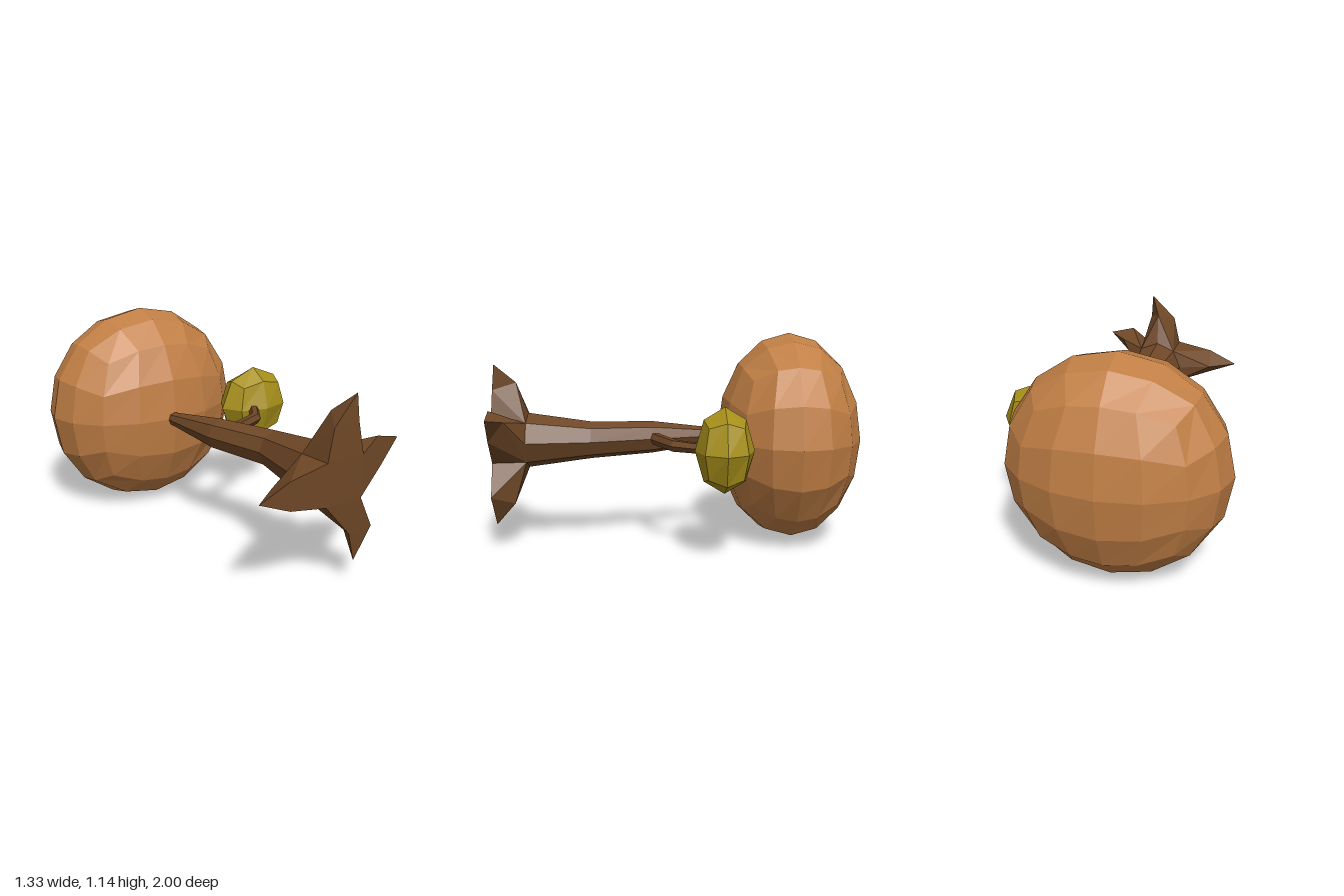
import * as THREE from 'three';

const mat = (color, side = THREE.FrontSide) => new THREE.MeshStandardMaterial({ color, side, flatShading: true });
const bark = mat(0x6e4726, THREE.DoubleSide);

// Flat-shaded mesh from a list of triangles given as Vector3 corners
function facetMesh(name, tris, material) {
  const g = new THREE.BufferGeometry().setFromPoints(tris);
  g.computeVertexNormals();
  const m = new THREE.Mesh(g, material);
  m.name = name;
  return m;
}

// Ring of points around a centre; u is the sideways axis, the other axis is y
function ring([x, y, z], r, u, n) {
  return Array.from({ length: n }, (_, i) => {
    const a = (i / n) * Math.PI * 2, c = r * Math.cos(a);
    return new THREE.Vector3(x + c * u[0], y + r * Math.sin(a), z + c * u[1]);
  });
}

// Skin successive rings, closing the far end
function loft(rings) {
  const t = [], n = rings[0].length;
  for (let i = 0; i + 1 < rings.length; i++) {
    for (let j = 0; j < n; j++) {
      const k = (j + 1) % n, P = rings[i], Q = rings[i + 1];
      t.push(P[j], Q[j], Q[k], P[j], Q[k], P[k]);
    }
  }
  const end = rings[rings.length - 1];
  for (let j = 1; j + 1 < n; j++) t.push(end[0], end[j + 1], end[j]);
  return t;
}

// Squashed ball made from an evenly divided cube
function foliage(name, color, div, pos, scale) {
  const g = new THREE.BoxGeometry(2, 2, 2, div, div, div);
  const p = g.attributes.position, v = new THREE.Vector3();
  const even = (c) => Math.tan((c * Math.PI) / 4);
  for (let i = 0; i < p.count; i++) {
    v.fromBufferAttribute(p, i);
    v.set(even(v.x), even(v.y), even(v.z)).normalize();
    p.setXYZ(i, v.x * scale[0], v.y * scale[1], v.z * scale[2]);
  }
  g.computeVertexNormals();
  const m = new THREE.Mesh(g, mat(color));
  m.name = name;
  m.position.set(...pos);
  return m;
}

export function createModel() {
  const tree = new THREE.Group();
  tree.name = 'tree';

  // Trunk, from the foot towards the crown
  const trunkRings = [
    [[0.06, 0.572, 0.82], 0.148],
    [[0.065, 0.572, 0.48], 0.1],
    [[-0.033, 0.572, 0.15], 0.088],
    [[-0.1, 0.572, -0.2], 0.04],
    [[-0.11, 0.572, -0.32], 0.03],
  ].map(([c, r]) => ring(c, r, [1, 0], 8));
  tree.add(facetMesh('trunk', loft(trunkRings), bark));

  // Four roots: side points a and b on the ground, ridge point m, tip t
  const V = (x, y, z) => new THREE.Vector3(x, y, z);
  const corners = [V(0.175, 0.685, 1), V(-0.045, 0.685, 1), V(-0.042, 0.465, 1), V(0.175, 0.465, 1)];
  const roots = [
    { a: [0.295, 0.595], b: [0.265, 0.755], m: [0.31, 0.7, 0.91], t: [0.408, 0.72] },
    { a: [0.14, 0.85], b: [-0.01, 0.845], m: [0.07, 0.885, 0.88], t: [0.13, 0.985] },
    { a: [-0.255, 0.645], b: [-0.25, 0.5], m: [-0.27, 0.572, 0.88], t: [-0.42, 0.57] },
    { a: [0.115, 0.29], b: [0.26, 0.295], m: [0.19, 0.25, 0.88], t: [0.165, 0.13] },
  ];
  const foot = trunkRings[0];
  roots.forEach((r, k) => {
    const c0 = corners[(k + 3) % 4], c1 = corners[k];
    const r0 = foot[(2 * k + 7) % 8], rm = foot[2 * k], r1 = foot[2 * k + 1];
    const a = V(...r.a, 0.995), b = V(...r.b, 0.995), m = V(...r.m), t = V(...r.t, 0.985);
    tree.add(facetMesh('root', [
      c0, a, b, c0, b, c1, a, t, b,
      r0, a, c0, r0, m, a, r0, rm, m, a, m, t,
      r1, c1, b, r1, b, m, r1, m, rm, b, t, m,
    ], bark));
  });
  const [p, q, s, w] = corners;
  tree.add(facetMesh('trunkBase', [p, q, s, p, s, w], bark));

  // Side branch, bending towards the small clump
  const branch = [
    [[-0.02, 0.572, 0.16], 0.034, [0.39, 0.92]],
    [[0.28, 0.572, 0.032], 0.033, [0.66, 0.75]],
    [[0.385, 0.572, -0.12], 0.028, [0.82, 0.57]],
    [[0.42, 0.572, -0.18], 0.024, [0.82, 0.57]],
  ].map(([c, r, u]) => ring(c, r, u, 6));
  tree.add(facetMesh('branch', loft(branch), bark));

  // Foliage
  tree.add(foliage('crown', 0xc17f45, 4, [-0.095, 0.573, -0.605], [0.57, 0.57, 0.395]));
  tree.add(foliage('smallClump', 0xa8901a, 2, [0.443, 0.574, -0.212], [0.218, 0.22, 0.15]));
  return tree;
}
